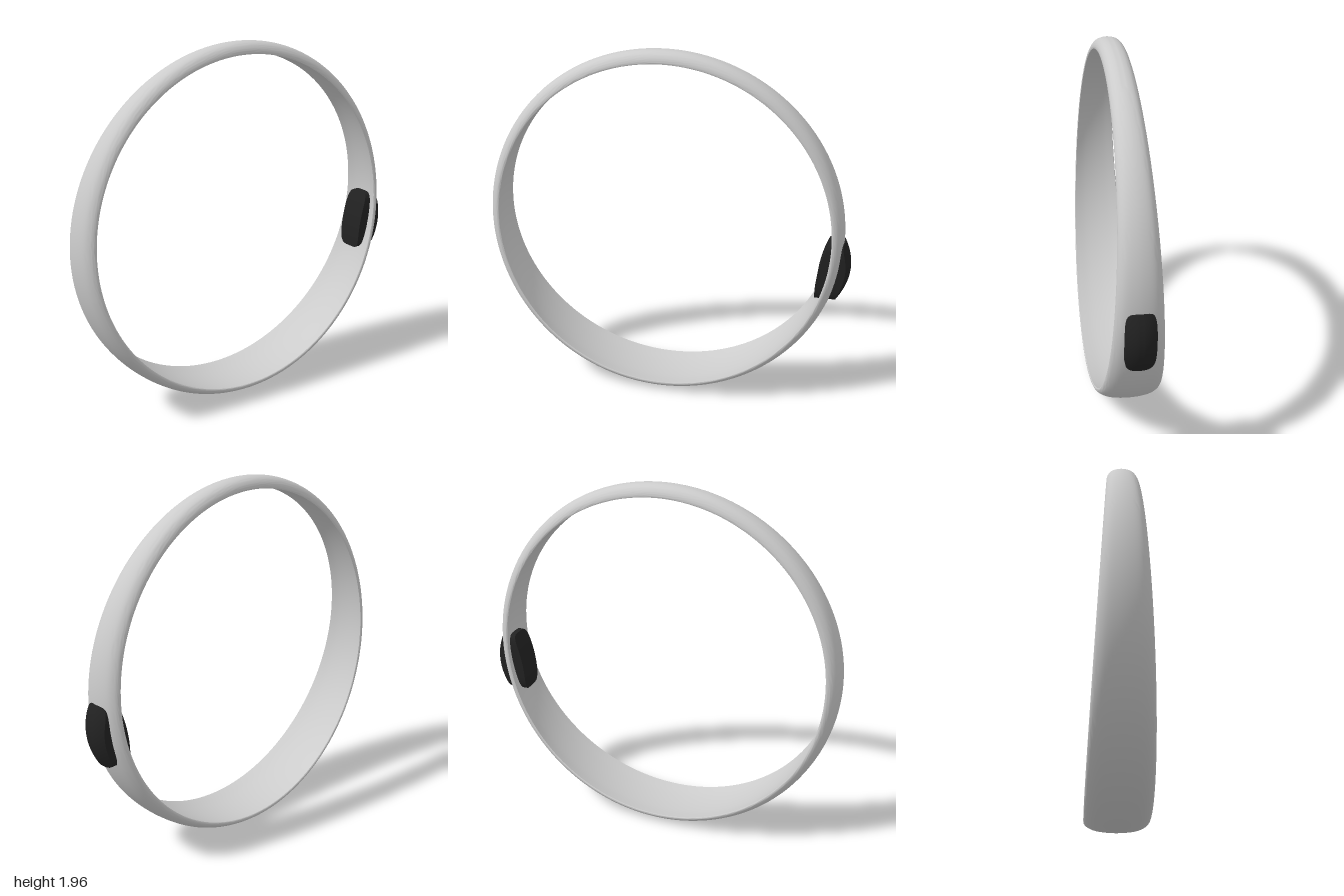
import * as THREE from 'three';
import { mergeVertices, toCreasedNormals } from 'three/addons/utils/BufferGeometryUtils.js';

const RADIUS = 0.9775, CY = 0.9775, CZ = 0.0225;

// Half width of the band: wide at the bottom, narrow at the top
const halfWidth = (a) => 0.121 - 0.0515 * Math.sin(a) - 0.004 * Math.cos(a) ** 2;

// Closed section of the band as [fraction of half width, depth below the outer radius]
function bandSection() {
  const outer = [[0, 0], [0.4, 0.004], [0.7, 0.014], [0.9, 0.031], [0.98, 0.045], [1, 0.056], [0.975, 0.062]];
  const inner = [[0.975, 0.062], [0.85, 0.058], [0.5, 0.049], [0, 0.045]];
  const smooth = (pts, n) => {
    const mirrored = pts.filter((p) => p[0] > 0).map(([t, d]) => [-t, d]);
    const all = pts[0][0] === 0
      ? [...mirrored.reverse(), ...pts]
      : [...pts, ...mirrored.reverse()];
    return new THREE.SplineCurve(all.map(([t, d]) => new THREE.Vector2(t, d))).getPoints(n);
  };
  return [...smooth(outer, 36).slice(0, -1), ...smooth(inner, 18).slice(0, -1)];
}

function bandGeometry(segments = 192) {
  const section = bandSection(), n = section.length;
  const positions = [], index = [];
  for (let i = 0; i < segments; i++) {
    const a = (i / segments) * Math.PI * 2;
    for (const p of section) {
      const r = RADIUS - p.y;
      positions.push(p.x * halfWidth(a), CY + r * Math.sin(a), CZ + r * Math.cos(a));
    }
    for (let j = 0; j < n; j++) {
      const k = (j + 1) % n, next = (i + 1) % segments;
      const p = i * n + j, q = i * n + k, r = next * n + j, s = next * n + k;
      index.push(p, q, r, q, s, r);
    }
  }
  const geometry = new THREE.BufferGeometry();
  geometry.setAttribute('position', new THREE.Float32BufferAttribute(positions, 3));
  geometry.setIndex(index);
  return toCreasedNormals(geometry, 0.7);
}

// Rounded rectangular block whose outer and inner faces bulge past the band
function insetGeometry() {
  let geometry = new THREE.BoxGeometry(2, 2, 2, 16, 24, 6);
  geometry.deleteAttribute('uv');
  geometry.deleteAttribute('normal');
  geometry = mergeVertices(geometry);
  const pos = geometry.attributes.position;
  for (let i = 0; i < pos.count; i++) {
    let u = pos.getX(i), v = pos.getY(i);
    const w = (pos.getZ(i) + 1) / 2;
    const norm = (Math.abs(u) ** 5 + Math.abs(v) ** 5) ** 0.2;
    const k = norm ? Math.max(Math.abs(u), Math.abs(v)) / norm : 1;
    u *= k;
    v *= k;
    const outer = -0.9975 - 0.0125 * v + 0.0475 * v * v + 0.025 * u * u;
    const inner = -0.83 - 0.03 * v - 0.02 * v * v;
    pos.setXYZ(i, 0.076 * u, 0.813 + 0.168 * v, THREE.MathUtils.lerp(outer, inner, w));
  }
  return toCreasedNormals(geometry, 0.7);
}

export function createModel() {
  const group = new THREE.Group();
  group.name = 'ring';

  const band = new THREE.Mesh(bandGeometry(), new THREE.MeshStandardMaterial({ color: 0xcccccc }));
  band.name = 'band';

  const inset = new THREE.Mesh(insetGeometry(), new THREE.MeshStandardMaterial({ color: 0x222222 }));
  inset.name = 'darkInset';

  group.add(band, inset);
  return group;
}
